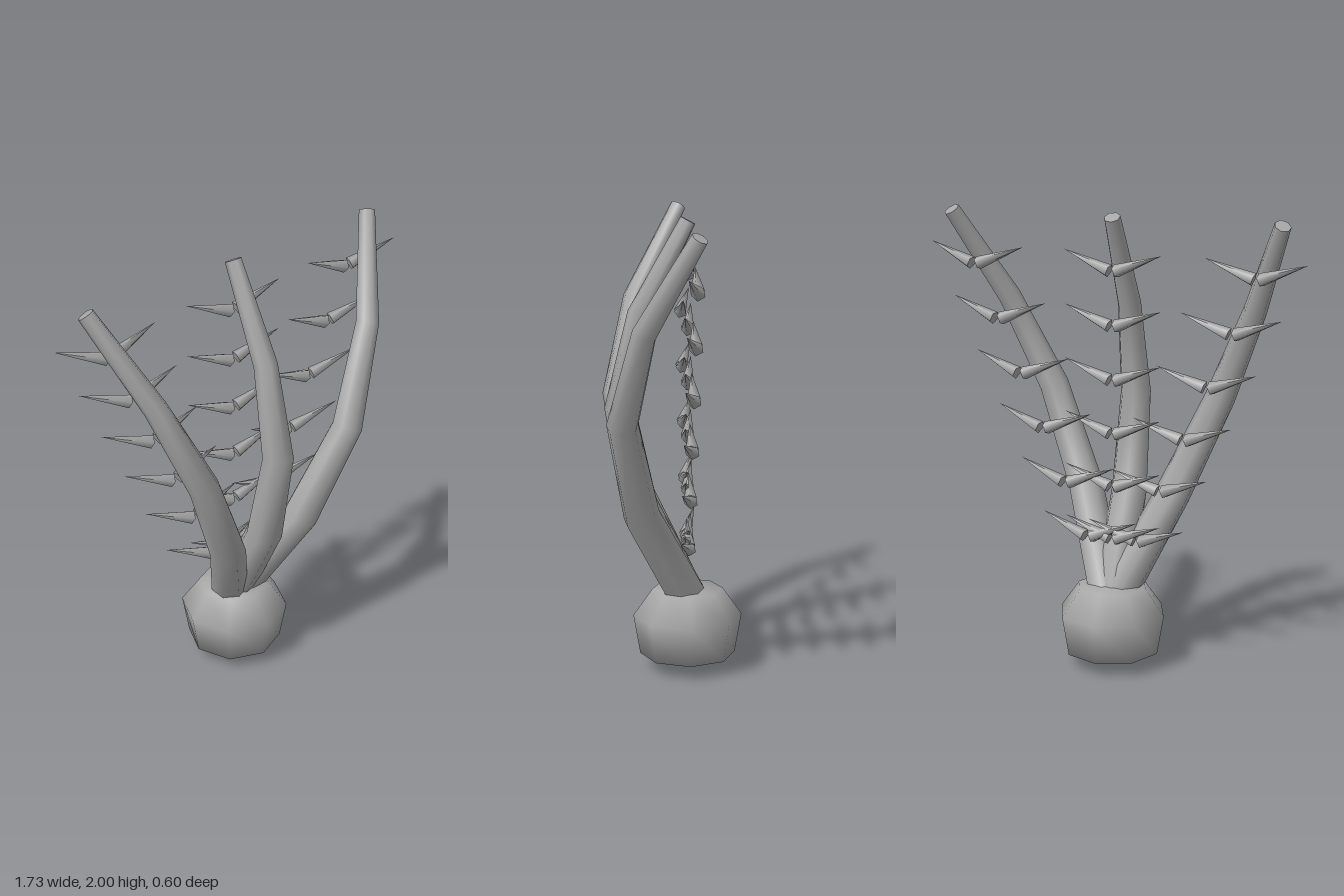
import * as THREE from 'three';

const grey = new THREE.MeshStandardMaterial({ color: 0xa6a6a6 });
grey.name = 'plain grey';

const V = (x, y, z) => new THREE.Vector3(x, y, z);

// Tapered tube through a few points, capped at both ends
function taperedTube(points, radii, sides) {
  const pos = [], idx = [];
  const n = points.length;
  points.forEach((p, i) => {
    const dir = points[Math.min(i + 1, n - 1)].clone().sub(points[Math.max(i - 1, 0)]).normalize();
    const side = V(0, 0, 1).cross(dir).negate().normalize();
    const front = side.clone().cross(dir).normalize();
    for (let j = 0; j < sides; j++) {
      const a = (j / sides) * Math.PI * 2;
      const v = p.clone()
        .addScaledVector(side, Math.cos(a) * radii[i])
        .addScaledVector(front, Math.sin(a) * radii[i]);
      pos.push(v.x, v.y, v.z);
      if (i < n - 1) {
        const k = (j + 1) % sides, A = i * sides + j, B = i * sides + k;
        idx.push(A, A + sides, B, B, A + sides, B + sides);
      }
    }
  });
  // separate rings keep the end caps crisp
  for (const [ring, flip] of [[0, true], [n - 1, false]]) {
    const start = pos.length / 3;
    for (let j = 0; j < sides * 3; j++) pos.push(pos[ring * sides * 3 + j]);
    for (let j = 1; j < sides - 1; j++) {
      if (flip) idx.push(start, start + j, start + j + 1);
      else idx.push(start, start + j + 1, start + j);
    }
  }
  const g = new THREE.BufferGeometry();
  g.setAttribute('position', new THREE.Float32BufferAttribute(pos, 3));
  g.setIndex(idx);
  g.computeVertexNormals();
  return g;
}

// Pointed thorn from a base centre to a tip
function thorn(base, tip) {
  const d = tip.clone().sub(base);
  const g = new THREE.ConeGeometry(0.03, d.length(), 5);
  g.translate(0, d.length() / 2, 0);
  const m = new THREE.Mesh(g, grey);
  m.name = 'thorn';
  m.position.copy(base);
  m.quaternion.setFromUnitVectors(V(0, 1, 0), d.normalize());
  return m;
}

export function createModel() {
  const model = new THREE.Group();
  model.name = 'thornedPlant';

  // Faceted bulb at the foot
  const profile = [[0, 0], [0.21, 0.065], [0.24, 0.24], [0.155, 0.36], [0, 0.375]];
  const bulb = new THREE.Mesh(
    new THREE.LatheGeometry(profile.map(([r, y]) => new THREE.Vector2(r, y)), 8), grey);
  bulb.name = 'bulb';
  bulb.position.z = -0.06;
  model.add(bulb);

  // Three bowed stems: [height, depth, radius]
  const stations = [
    [0.3, -0.07, 0.085], [0.74, 0.15, 0.08], [1.17, 0.235, 0.068],
    [1.58, 0.15, 0.052], [1.98, -0.06, 0.036],
  ];
  for (const [s, name] of [[-1, 'rightStem'], [0, 'middleStem'], [1, 'leftStem']]) {
    const pts = stations.map(([y, z]) => V(s * (0.74 - (1.98 - y) * 0.43), y, z));
    const stem = new THREE.Mesh(taperedTube(pts, stations.map((t) => t[2]), 7), grey);
    stem.name = name;
    model.add(stem);

    // Six pairs of thorns in a row behind each stem
    const row = new THREE.Group();
    row.name = name + 'Thorns';
    for (let i = 0; i < 6; i++) {
      const x = s * (0.635 - 0.104 * i), y = 1.752 - 0.236 * i;
      for (const e of [-1, 1]) {
        const tipZ = -0.06 + s * 0.025 + e * 0.027;
        row.add(thorn(V(x + e * 0.015, y, -0.06), V(x + e * 0.228, y + 0.08, tipZ)));
      }
    }
    model.add(row);
  }
  return model;
}
